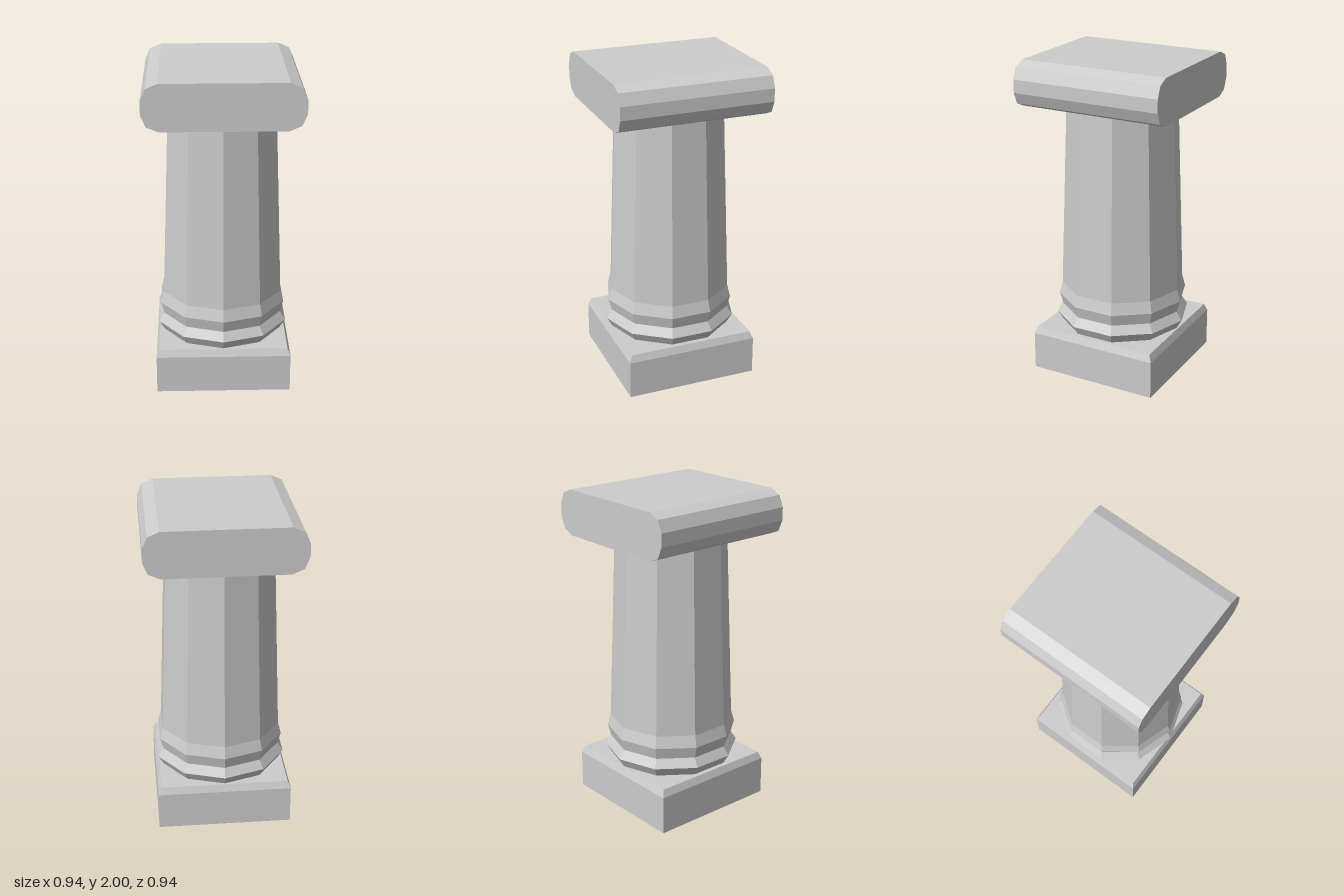
import * as THREE from 'three';

const stone = new THREE.MeshStandardMaterial({
  color: 0xcccccc, flatShading: true, side: THREE.DoubleSide,
});
stone.name = 'grey stone';

// Faceted solid of revolution from [radius, height] pairs, bottom to top
function turned(name, profile, sides, start = 0) {
  const points = profile.map(([r, y]) => new THREE.Vector2(r, y));
  const mesh = new THREE.Mesh(new THREE.LatheGeometry(points, sides, start), stone);
  mesh.name = name;
  return mesh;
}

export function createModel() {
  const group = new THREE.Group();
  group.name = 'column';

  // Square plinth: bevelled top, hollow and open underneath
  const diagonal = Math.SQRT2;
  group.add(turned('plinth', [
    [0.415 * diagonal, 0], [0.415 * diagonal, 0.24], [0.397 * diagonal, 0.285], [0, 0.285],
  ], 4, Math.PI / 4));

  // Ten-sided base mouldings
  group.add(turned('baseMoulding', [
    [0.387, 0.285], [0.422, 0.345], [0.387, 0.4], [0.407, 0.475], [0.387, 0.55],
  ], 10));

  // Tapering ten-sided shaft
  group.add(turned('shaft', [[0.387, 0.55], [0.342, 1.72]], 10));

  // Capital slab with rounded left and right ends
  const corner = [[0.47, 0.04], [0.44, 0.11], [0.37, 0.14]];
  const mirrored = [...corner].reverse();
  const outline = [
    ...corner,
    ...mirrored.map(([x, y]) => [-x, y]),
    ...corner.map(([x, y]) => [-x, -y]),
    ...mirrored.map(([x, y]) => [x, -y]),
  ].map(([x, y]) => new THREE.Vector2(x, y));
  const slab = new THREE.ExtrudeGeometry(new THREE.Shape(outline), { depth: 0.94, bevelEnabled: false });
  slab.translate(0, 1.86, -0.47);
  const capital = new THREE.Mesh(slab, stone);
  capital.name = 'capital';
  group.add(capital);

  return group;
}
